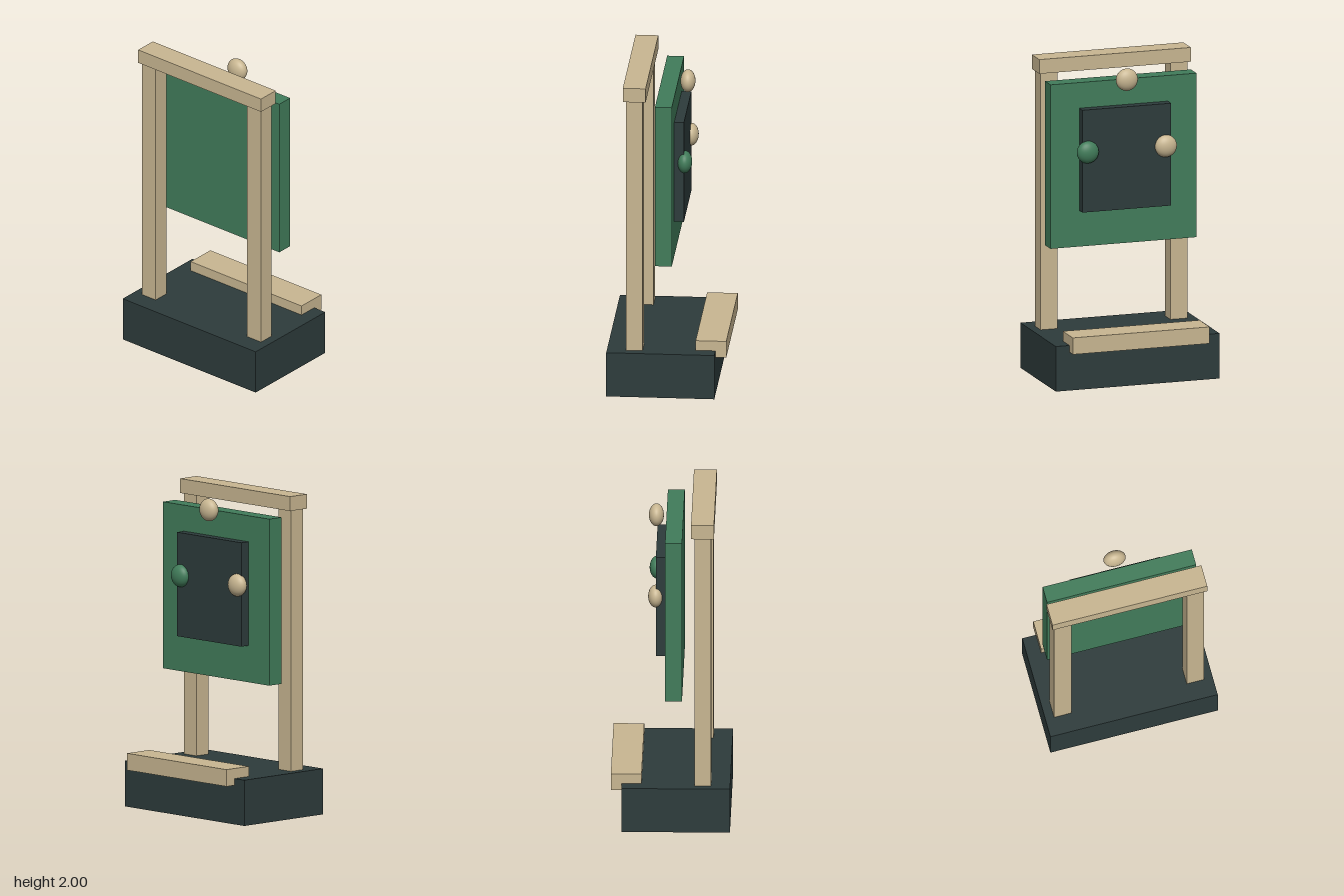
import * as THREE from 'three';

export function createModel() {
  const model = new THREE.Group();
  model.name = 'framedBoardStand';

  const material = (name, color) => {
    const m = new THREE.MeshStandardMaterial({ color });
    m.name = name;
    return m;
  };
  const wood = material('pale wood', 0xc8b691);
  const green = material('board green', 0x417c5a);
  const dark = material('dark slate', 0x2d3b3b);

  // Box given by its extents on each axis
  function box(name, mat, [x0, x1], [y0, y1], [z0, z1]) {
    const mesh = new THREE.Mesh(new THREE.BoxGeometry(x1 - x0, y1 - y0, z1 - z0), mat);
    mesh.position.set((x0 + x1) / 2, (y0 + y1) / 2, (z0 + z1) / 2);
    mesh.name = name;
    model.add(mesh);
  }

  // Flattened round knob on the back of the board
  const knobGeometry = new THREE.SphereGeometry(0.07, 32, 20).scale(1, 1, 0.66);
  function knob(name, mat, x, y) {
    const mesh = new THREE.Mesh(knobGeometry, mat);
    mesh.position.set(x, y, -0.097);
    mesh.name = name;
    model.add(mesh);
  }

  // Base and rear ledge
  box('base', dark, [-0.533, 0.533], [0, 0.285], [-0.302, 0.365]);
  box('ledge', wood, [-0.445, 0.445], [0.243, 0.348], [-0.369, -0.18]);

  // Gate frame: two posts and a crossbeam
  box('leftPost', wood, [0.367, 0.478], [0.285, 1.91], [0.145, 0.248]);
  box('rightPost', wood, [-0.478, -0.367], [0.285, 1.91], [0.145, 0.248]);
  box('crossbeam', wood, [-0.493, 0.493], [1.91, 2], [0.125, 0.266]);

  // Board with raised plate
  box('board', green, [-0.475, 0.475], [0.838, 1.875], [-0.035, 0.069]);
  box('plate', dark, [-0.288, 0.288], [1.066, 1.713], [-0.095, -0.035]);

  // Knobs
  knob('topKnob', wood, 0, 1.885);
  knob('rightKnob', wood, -0.254, 1.446);
  knob('leftKnob', green, 0.254, 1.446);

  return model;
}
